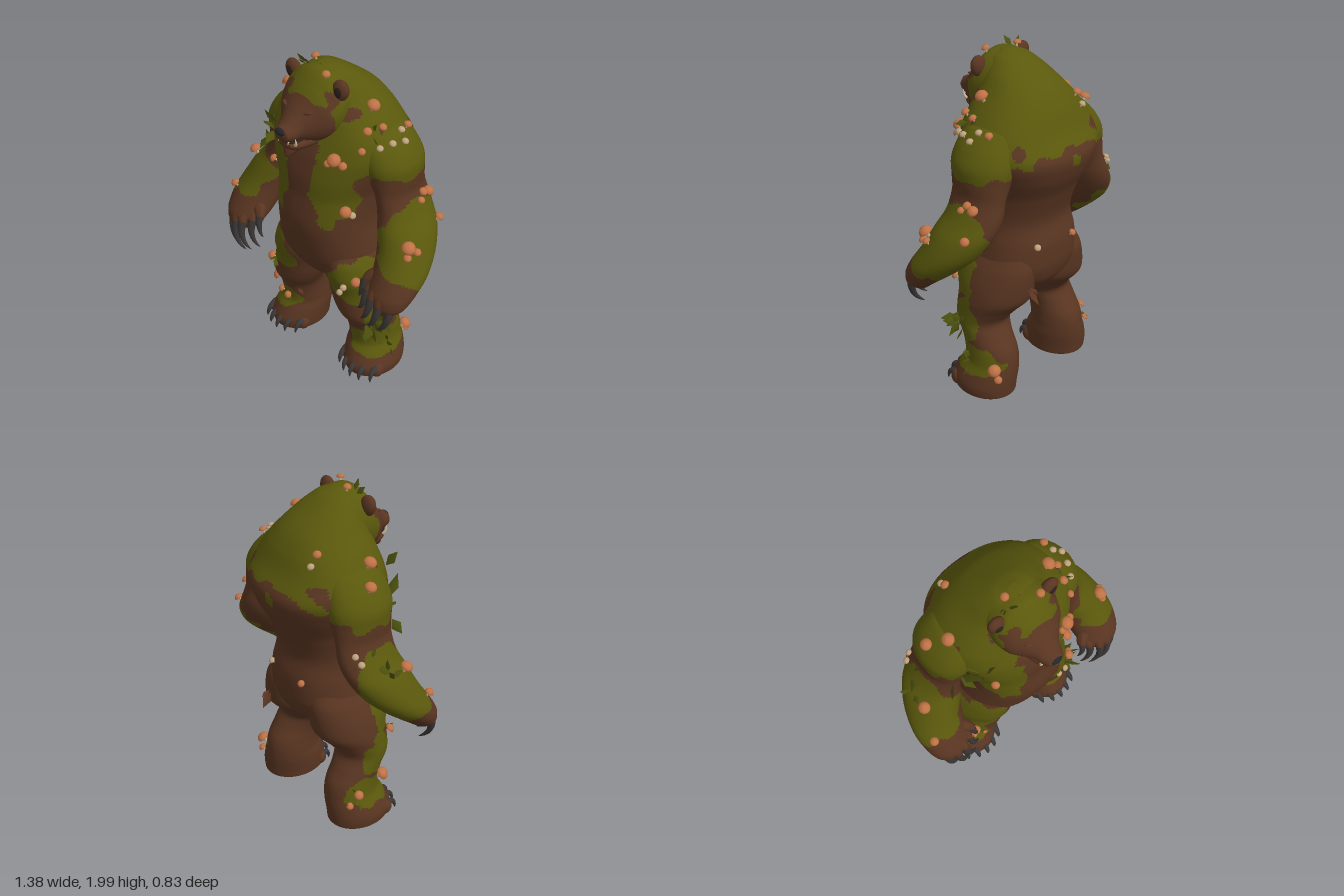
import * as THREE from 'three';

const mat = (name, color, side = THREE.FrontSide) => {
  const m = new THREE.MeshStandardMaterial({ color, side });
  m.name = name;
  return m;
};
const V = (x, y, z) => new THREE.Vector3(x, y, z);

// Wobbly noise that roughens the edges of the moss
const noise = (p) => Math.sin(24 * p.x + 2 * Math.sin(27 * p.y)) * 0.4 +
  Math.sin(33 * p.y + 3 * Math.sin(17 * p.z)) * 0.35 + Math.sin(41 * p.z + 35 * p.x) * 0.35;

// Mossy areas, mirrored in x: centre and radii
const MOSS = {
  torso: [[0, 1.82, -0.2, 0.6, 0.36, 0.36], [0.18, 1.32, 0.2, 0.11, 0.23, 0.16], [0.24, 1.56, 0.15, 0.15, 0.16, 0.2]],
  arm: [[0.38, 1.58, -0.05, 0.28, 0.19, 0.36], [0.59, 1.07, -0.01, 0.2, 0.23, 0.28]],
  leg: [[0.28, 0.72, 0.14, 0.15, 0.16, 0.2], [0.42, 0.46, 0.06, 0.09, 0.15, 0.14], [0.36, 0.24, 0.02, 0.17, 0.1, 0.22]],
  head: [[0, 1.93, 0.05, 0.22, 0.145, 0.24], [0.2, 1.72, 0.05, 0.1, 0.2, 0.14]],
};
const isMossy = (p, blobs) => blobs.some(([x, y, z, a, b, c]) =>
  Math.hypot((Math.abs(p.x) - x) / a, (p.y - y) / b, (p.z - z) / c) < 1 + 0.2 * noise(p));

// Smooth skin through oval rings [cx, cy, cz, ra, rb], lying flat or facing z; low round values are boxier
function loft(rings, { axis = 'y', s = 1, rows = 70, cols = 64, round = 1, paint = () => 0 } = {}) {
  const centre = new THREE.CatmullRomCurve3(rings.map((r) => V(r[0] * s, r[1], r[2])));
  const size = new THREE.CatmullRomCurve3(rings.map((r) => V(r[3], r[4], 0)));
  const bulge = (t) => Math.sign(t) * Math.abs(t) ** round;
  const pos = [], tris = [];
  for (let i = 0; i <= rows; i++) {
    const c = centre.getPoint(i / rows), r = size.getPoint(i / rows);
    for (let j = 0; j < cols; j++) {
      const a = (j / cols) * Math.PI * 2, u = r.x * bulge(Math.cos(a)), v = r.y * bulge(Math.sin(a));
      if (axis === 'y') pos.push(c.x + u, c.y, c.z + v);
      else pos.push(c.x + u, c.y + v, c.z);
    }
  }
  const first = centre.getPoint(0), last = centre.getPoint(1), n = (rows + 1) * cols;
  pos.push(...first.toArray(), ...last.toArray());
  for (let j = 0; j < cols; j++) {
    const k = (j + 1) % cols;
    for (let i = 0; i < rows; i++) {
      const a = i * cols + j, b = i * cols + k;
      tris.push([a, b, a + cols], [b, b + cols, a + cols]);
    }
    tris.push([n, k, j], [n + 1, rows * cols + j, rows * cols + k]);
  }
  // Turn the skin outward, then sort its faces by colour
  const at = (i) => V(pos[3 * i], pos[3 * i + 1], pos[3 * i + 2]);
  let volume = 0;
  for (const [a, b, c] of tris) volume += at(a).sub(first).dot(at(b).sub(first).cross(at(c).sub(first)));
  const bins = [[], [], []];
  for (const t of tris) {
    if (volume < 0) t.reverse();
    const [a, b, c] = t.map(at);
    const mid = a.clone().add(b).add(c).divideScalar(3);
    const normal = b.sub(a).cross(c.sub(a)).normalize();
    bins[paint(mid, normal)].push(...t);
  }
  const g = new THREE.BufferGeometry();
  g.setAttribute('position', new THREE.Float32BufferAttribute(pos, 3));
  g.setIndex(bins.flat());
  let start = 0;
  bins.forEach((b, i) => { if (b.length) g.addGroup(start, b.length, i); start += b.length; });
  g.computeVertexNormals();
  return g;
}

// Curved spike: a tube whose radius shrinks towards its tip
function spike(a, b, c, r, end = 0.02) {
  const curve = new THREE.QuadraticBezierCurve3(V(...a), V(...b), V(...c));
  const g = new THREE.TubeGeometry(curve, 10, r, 10), p = g.attributes.position, v = V(0, 0, 0);
  for (let i = 0; i < p.count; i++) {
    const t = Math.floor(i / 11) / 10, o = curve.getPointAt(t);
    v.fromBufferAttribute(p, i).sub(o).multiplyScalar(end + (1 - end) * Math.pow(1 - t, 0.7)).add(o);
    p.setXYZ(i, v.x, v.y, v.z);
  }
  g.computeVertexNormals();
  return g;
}

export function createModel() {
  const model = new THREE.Group();
  model.name = 'mossyBear';
  const fur = mat('brown fur', 0x593521, THREE.DoubleSide), moss = mat('green moss', 0x5a580c), pad = mat('dark skin', 0x2c211c);
  const claw = mat('grey claw', 0x3b3636), cap = mat('orange cap', 0xbf7245), stem = mat('pale stem', 0xbfa37f);
  const leafMat = mat('dark leaf', 0x4b500e, THREE.DoubleSide), tooth = mat('ivory tooth', 0xd0c09c);
  const eyeMat = mat('amber eye', 0xa87f3c), noseMat = mat('black nose', 0x25262a);
  const skin = [fur, moss, pad];
  const add = (name, geo, m, parent = model) => {
    const mesh = new THREE.Mesh(geo, m);
    mesh.name = name;
    parent.add(mesh);
    return mesh;
  };
  const ball = (name, m, [x, y, z], [a, b, c], rz = 0) => {
    const mesh = add(name, new THREE.SphereGeometry(1, 24, 16), m);
    mesh.position.set(x, y, z);
    mesh.scale.set(a, b, c);
    mesh.rotation.z = rz;
    return mesh;
  };
  const body = [];
  const painter = (part) => (p, n) =>
    part === 'leg' && p.y < 0.05 && n.y < -0.7 ? 2 : isMossy(p, MOSS[part]) ? 1 : 0;
  const limb = (name, part, rings, opts) =>
    body.push(add(name, loft(rings, { ...opts, paint: painter(part) }), skin));

  // Torso with the shoulder hump
  limb('torso', 'torso', [[0, 0.57, -0.03, 0.02, 0.06], [0, 0.63, -0.03, 0.13, 0.17], [0, 0.72, -0.03, 0.255, 0.245],
    [0, 0.82, -0.02, 0.315, 0.282], [0, 0.95, -0.005, 0.3, 0.295], [0, 1.08, 0.015, 0.285, 0.29], [0, 1.25, -0.02, 0.3, 0.305],
    [0, 1.38, -0.055, 0.345, 0.335], [0, 1.49, -0.075, 0.38, 0.335], [0, 1.6, -0.06, 0.365, 0.285],
    [0, 1.7, -0.05, 0.3, 0.245], [0, 1.79, -0.03, 0.225, 0.2], [0, 1.87, 0.01, 0.165, 0.14],
    [0, 1.935, 0.05, 0.1, 0.085], [0, 1.965, 0.07, 0.03, 0.03]], { rows: 100, cols: 110, round: 0.88 });

  // Head, jaw and face
  limb('head', 'head', [[0, 1.78, -0.08, 0.05, 0.05], [0, 1.785, -0.03, 0.14, 0.15], [0, 1.77, 0.05, 0.185, 0.19],
    [0, 1.765, 0.14, 0.188, 0.195], [0, 1.735, 0.22, 0.165, 0.155], [0, 1.712, 0.275, 0.115, 0.108],
    [0, 1.698, 0.32, 0.077, 0.073], [0, 1.685, 0.36, 0.062, 0.053], [0, 1.685, 0.395, 0.047, 0.038],
    [0, 1.688, 0.405, 0.02, 0.015]], { axis: 'z', rows: 80, cols: 80 });
  add('jaw', loft([[0, 1.61, 0.18, 0.1, 0.05], [0, 1.605, 0.27, 0.08, 0.046], [0, 1.607, 0.34, 0.058, 0.032],
    [0, 1.612, 0.37, 0.038, 0.018]], { axis: 'z', rows: 16, cols: 28 }), skin);
  ball('mouth', pad, [0, 1.635, 0.31], [0.06, 0.012, 0.073]);
  add('beard', spike([0, 1.63, 0.27], [0, 1.585, 0.33], [0, 1.535, 0.365], 0.075), fur);
  ball('nose', noseMat, [0, 1.702, 0.392], [0.033, 0.022, 0.022]);
  for (const s of [-1, 1]) {
    ball('eye', eyeMat, [s * 0.06, 1.768, 0.283], [0.016, 0.007, 0.012], s * 0.25);
    ball('pupil', noseMat, [s * 0.058, 1.768, 0.291], [0.005, 0.006, 0.005]);
    ball('brow', fur, [s * 0.064, 1.782, 0.272], [0.036, 0.01, 0.021], s * 0.35);
    add('lowerTusk', spike([s * 0.05, 1.62, 0.345], [s * 0.068, 1.64, 0.355], [s * 0.06, 1.67, 0.357], 0.009), tooth);
    add('upperFang', spike([s * 0.033, 1.648, 0.375], [s * 0.034, 1.638, 0.385], [s * 0.032, 1.628, 0.38], 0.005), tooth);
    ball('ear', fur, [s * 0.158, 1.885, 0.13], [0.05, 0.06, 0.032], -s * 0.4);
    ball('innerEar', pad, [s * 0.16, 1.883, 0.153], [0.026, 0.034, 0.012], -s * 0.4);
  }

  // Arms, fingers, legs, toes and all claws
  for (const s of [-1, 1]) {
    limb('arm', 'arm', [[0.22, 1.69, -0.07, 0.03, 0.05], [0.26, 1.64, -0.07, 0.1, 0.14], [0.305, 1.56, -0.075, 0.133, 0.175],
      [0.335, 1.48, -0.08, 0.147, 0.188], [0.357, 1.39, -0.085, 0.13, 0.178], [0.385, 1.3, -0.09, 0.105, 0.17],
      [0.42, 1.2, -0.09, 0.12, 0.175], [0.47, 1.1, -0.06, 0.145, 0.18], [0.51, 1, -0.01, 0.15, 0.17],
      [0.54, 0.9, 0.07, 0.147, 0.15], [0.545, 0.82, 0.14, 0.135, 0.125], [0.55, 0.76, 0.18, 0.11, 0.09],
      [0.56, 0.71, 0.2, 0.05, 0.05]], { s, rows: 90, cols: 76 });
    for (let i = 0; i < 4; i++) {
      const x = s * (0.6 - i * 0.053), z = 0.205 + 0.035 * Math.sin(i * 1.05), y = 0.72 + 0.022 * i;
      add('finger', spike([s * (0.6 - i * 0.045), 0.84, z - 0.05], [x, 0.8, z + 0.03], [x, y, z + 0.02], 0.042, 0.5), fur);
      add('fingerClaw', spike([x, y + 0.03, z + 0.02], [x + s * 0.005, y - 0.09, z + 0.06],
        [s * (0.515 - i * 0.045), 0.565 + i * 0.026, z + 0.025], 0.027), claw);
    }
    add('thumb', spike([s * 0.47, 0.88, 0.14], [s * 0.41, 0.87, 0.18], [s * 0.405, 0.82, 0.2], 0.045, 0.5), fur);
    add('thumbClaw', spike([s * 0.405, 0.85, 0.2], [s * 0.4, 0.76, 0.23], [s * 0.37, 0.71, 0.21], 0.025), claw);

    limb('leg', 'leg', [[0.17, 0.99, -0.01, 0.05, 0.15], [0.175, 0.9, -0.015, 0.118, 0.225], [0.185, 0.81, -0.02, 0.163, 0.252],
      [0.197, 0.72, -0.02, 0.184, 0.248], [0.208, 0.62, -0.025, 0.193, 0.222], [0.228, 0.53, 0.01, 0.178, 0.18],
      [0.252, 0.45, 0.03, 0.155, 0.15], [0.268, 0.37, -0.012, 0.136, 0.15], [0.272, 0.29, -0.048, 0.134, 0.165],
      [0.275, 0.21, -0.06, 0.14, 0.167], [0.286, 0.15, -0.045, 0.156, 0.185], [0.3, 0.07, -0.025, 0.165, 0.2],
      [0.3, 0.02, -0.025, 0.16, 0.195], [0.3, 0.008, -0.025, 0.14, 0.175]], { s, rows: 90, cols: 76 });
    for (let i = 0; i < 5; i++) {
      const x = s * (0.18 + i * 0.06), z = 0.135 - 0.011 * (i - 2) ** 2;
      ball('toe', fur, [x, 0.058, z - 0.01], [0.034, 0.048, 0.045]);
      add('toeClaw', spike([x, 0.08, z + 0.01], [x, 0.085, z + 0.065], [x + s * 0.006, 0.01, z + 0.068], 0.022), claw);
    }
  }

  // Anything growing on the bear is dropped onto its skin from one side
  model.updateMatrixWorld(true);
  const ray = new THREE.Raycaster();
  const FROM = { front: (u, v) => [V(u, v, 3), V(0, 0, -1)], back: (u, v) => [V(u, v, -3), V(0, 0, 1)],
    top: (u, v) => [V(u, 3, v), V(0, -1, 0)], left: (u, v) => [V(3, v, u), V(-1, 0, 0)], right: (u, v) => [V(-3, v, u), V(1, 0, 0)] };
  const anchor = (side, u, v) => {
    ray.set(...FROM[side](u, v));
    const hit = ray.intersectObjects(body, false)[0];
    return hit && { point: hit.point, normal: hit.face.normal };
  };
  let seed = 7;
  const rand = () => (seed = (seed * 16807) % 2147483647) / 2147483647;

  // Mushrooms: side, two coordinates and cap radius
  const capGeo = new THREE.LatheGeometry([[0, 0.15], [0.9, -0.1], [1, 0], [0.9, 0.35], [0.55, 0.68], [0, 0.8]]
    .map(([x, y]) => new THREE.Vector2(x, y)), 14);
  const stemGeo = new THREE.CylinderGeometry(0.22, 0.32, 1.6, 8);
  const mushroom = (side, u, v, r) => {
    const a = anchor(side, u, v);
    if (!a) return;
    const g = new THREE.Group();
    g.name = 'mushroom';
    add('cap', capGeo, r > 0.0185 ? cap : stem, g).position.y = 0.9;
    add('stem', stemGeo, stem, g).position.y = 0.3;
    g.position.copy(a.point);
    g.scale.setScalar(r * 1.08);
    g.quaternion.setFromUnitVectors(V(0, 1, 0), a.normal.clone().multiplyScalar(0.8).add(V(0, 0.7, 0)).normalize());
    model.add(g);
  };
  const spots = [
    ['top', -0.33, -0.02, 0.033], ['top', -0.42, -0.09, 0.03], ['top', -0.57, 0.03, 0.032], ['right', 0.16, 0.94, 0.024],
    ['top', -0.19, -0.23, 0.022], ['top', -0.19, -0.27, 0.018], ['top', 0.25, 0, 0.033], ['top', 0.32, 0, 0.02],
    ['top', 0.36, -0.15, 0.021], ['top', 0.37, -0.09, 0.018], ['top', 0.29, 0.08, 0.022], ['front', 0.2, 1.52, 0.034],
    ['front', 0.24, 1.5, 0.021], ['front', 0.17, 1.5, 0.019], ['front', 0.3, 1.58, 0.019], ['left', -0.17, 1.26, 0.028],
    ['left', -0.1, 1.25, 0.019], ['left', -0.13, 1.28, 0.022], ['left', 0.08, 1.07, 0.036], ['left', 0.1, 1.03, 0.021],
    ['left', 0.05, 1.05, 0.021], ['left', -0.18, 1.12, 0.024], ['left', 0, 1.6, 0.018], ['left', -0.07, 1.59, 0.018],
    ['left', 0.06, 1.59, 0.017], ['top', 0.08, 0.15, 0.021], ['top', -0.06, 0.07, 0.021], ['front', 0.24, 1.2, 0.03],
    ['front', 0.26, 1.17, 0.018], ['front', -0.23, 1.33, 0.022], ['front', -0.38, 0.29, 0.036], ['front', -0.33, 0.25, 0.021],
    ['front', -0.27, 0.25, 0.022], ['front', -0.34, 0.54, 0.026], ['front', 0.31, 0.74, 0.026], ['front', 0.26, 0.7, 0.018],
    ['front', 0.34, 0.68, 0.021], ['front', 0.23, 0.64, 0.018], ['left', -0.18, 0.2, 0.035], ['left', -0.2, 0.15, 0.022],
    ['right', -0.12, 0.24, 0.026], ['right', -0.17, 0.18, 0.02], ['back', -0.12, 0.94, 0.019], ['back', 0.14, 0.95, 0.018],
    ['back', -0.5, 1.22, 0.018], ['back', -0.47, 1.26, 0.017]];
  for (const spot of spots) mushroom(...spot);

  // Leaf tufts: side, two coordinates, number of leaves, length and colour
  const leafGeo = new THREE.BufferGeometry();
  leafGeo.setAttribute('position', new THREE.Float32BufferAttribute(
    [0, 0, 0, 0.28, 0.45, 0.08, 0, 0.45, -0.05, 0, 1, 0.12, -0.28, 0.45, 0.08], 3));
  leafGeo.setIndex([0, 1, 2, 1, 3, 2, 2, 3, 4, 0, 2, 4]);
  leafGeo.computeVertexNormals();
  const tuft = (side, u, v, count, size, m = leafMat) => {
    const a = anchor(side, u, v);
    if (!a) return;
    for (let i = 0; i < count; i++) {
      const leaf = add('leaf', leafGeo, m);
      const spread = V(rand() - 0.5, (rand() - 0.5) * 1.6, rand() - 0.5).multiplyScalar(2);
      leaf.position.copy(a.point).addScaledVector(spread, size * 0.25).addScaledVector(a.normal, -0.015);
      leaf.quaternion.setFromUnitVectors(V(0, 1, 0), a.normal.clone().multiplyScalar(0.45).add(spread).normalize());
      leaf.scale.setScalar(size * (0.7 + 0.5 * rand()));
    }
  };
  for (const t of [['front', 0.36, 0.42, 6, 0.1], ['left', 0.08, 0.41, 5, 0.1], ['left', 0, 0.21, 5, 0.08],
    ['front', -0.34, 0.55, 4, 0.07], ['front', -0.29, 0.26, 4, 0.06], ['front', -0.39, 1.4, 5, 0.13],
    ['front', -0.23, 1.52, 3, 0.1], ['top', -0.09, 0.1, 5, 0.06], ['right', -0.17, 1.22, 7, 0.09],
    ['right', -0.08, 1.14, 5, 0.09], ['right', -0.1, 0.22, 5, 0.08], ['top', 0.31, 0.06, 4, 0.06],
    ['front', -0.19, 0.4, 3, 0.09, fur], ['back', 0.2, 0.74, 3, 0.09, fur]]) tuft(...t);
  return model;
}
